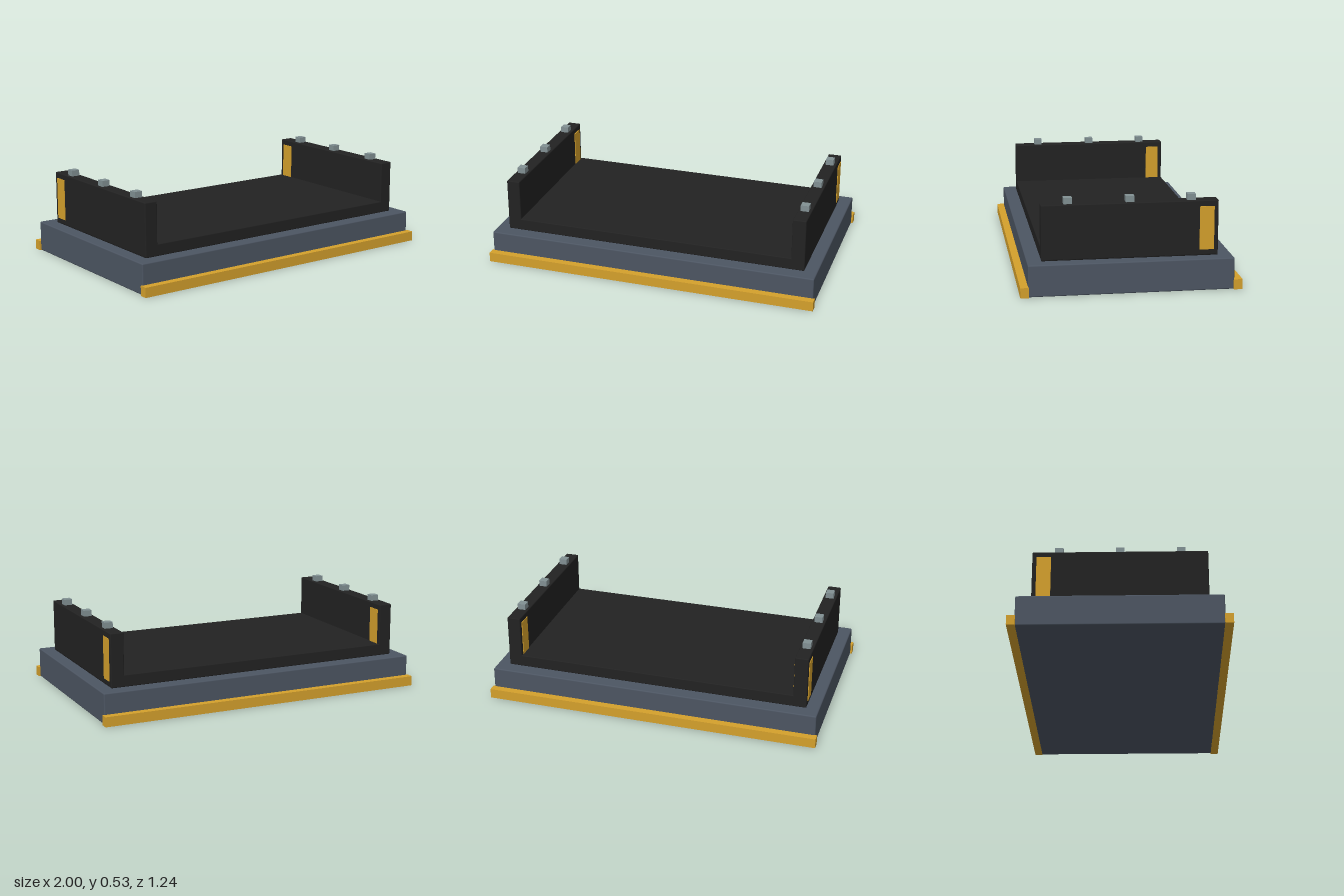
import * as THREE from 'three';
import { RoundedBoxGeometry } from 'three/addons/geometries/RoundedBoxGeometry.js';

function material(name, color) {
  const m = new THREE.MeshStandardMaterial({ color });
  m.name = name;
  return m;
}

export function createModel() {
  const group = new THREE.Group();
  const slate = material('slate', 0x4c5562);
  const black = material('black', 0x222222);
  const yellow = material('yellow', 0xd4a02c);
  const grey = material('grey', 0x819093);

  // Box from size and centre; a bevel softens the edges
  function box(name, mat, [w, h, d], [x, y, z], bevel = 0) {
    const geo = bevel
      ? new RoundedBoxGeometry(w, h, d, 2, bevel)
      : new THREE.BoxGeometry(w, h, d);
    const mesh = new THREE.Mesh(geo, mat);
    mesh.name = name;
    mesh.position.set(x, y, z);
    group.add(mesh);
  }

  // Base block and tray floor
  box('base', slate, [1.98, 0.18, 1.15], [0, 0.09, 0], 0.007);
  box('trayFloor', black, [1.83, 0.07, 0.99], [0, 0.215, 0], 0.005);

  // Rails along the front and back
  for (const s of [1, -1]) {
    box(s > 0 ? 'frontRail' : 'backRail', yellow, [2, 0.058, 0.048], [0, 0.029, s * 0.595]);
  }

  // Side walls with studs on top and a stripe near the back on both faces
  for (const s of [1, -1]) {
    const side = s > 0 ? 'left' : 'right';
    box(side + 'Wall', black, [0.08, 0.312, 0.99], [s * 0.876, 0.339, 0], 0.006);
    for (const z of [-0.345, 0, 0.345]) {
      box(side + 'Stud', grey, [0.048, 0.036, 0.048], [s * 0.876, 0.512, z]);
    }
    box(side + 'OuterStripe', yellow, [0.006, 0.247, 0.082], [s * 0.917, 0.3385, -0.43]);
    box(side + 'InnerStripe', yellow, [0.006, 0.247, 0.082], [s * 0.835, 0.3385, -0.43]);
  }

  return group;
}
